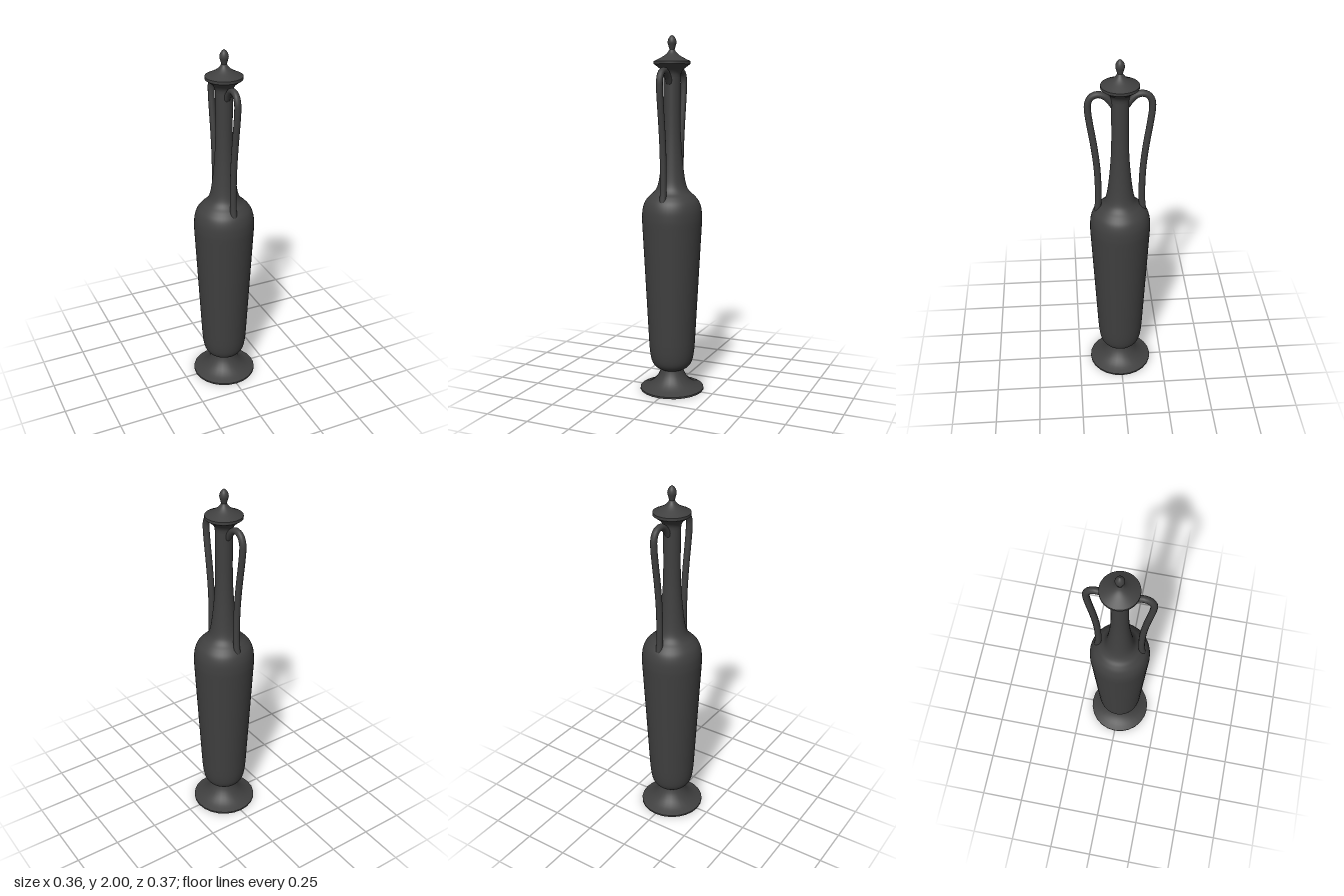
import * as THREE from 'three';

const material = new THREE.MeshStandardMaterial({ color: 0x404040, side: THREE.DoubleSide });
const SIDES = 48;

// Smooth curve through [radius, y] points
function smooth(points, divisions) {
  return new THREE.SplineCurve(points.map(([r, y]) => new THREE.Vector2(r, y))).getPoints(divisions);
}

// Turned part made of several profile pieces; the joints between pieces stay sharp
function turned(name, pieces, sides = SIDES) {
  const group = new THREE.Group();
  group.name = name;
  pieces.forEach((piece, i) => {
    const mesh = new THREE.Mesh(new THREE.LatheGeometry(piece, sides), material);
    mesh.name = `${name}Section${i + 1}`;
    group.add(mesh);
  });
  return group;
}

const line = (...points) => points.map(([r, y]) => new THREE.Vector2(r, y));

export function createModel() {
  const model = new THREE.Group();
  model.name = 'amphora';

  // Flared foot with a thin straight edge
  model.add(turned('foot', [
    line([0, 0], [0.182, 0]),
    line([0.182, 0], [0.182, 0.01]),
    smooth([[0.182, 0.01], [0.14, 0.025], [0.105, 0.049], [0.08, 0.08], [0.067, 0.108], [0.062, 0.128]], 16),
  ], 24));

  // Tapered belly, rounded shoulder and long neck
  model.add(turned('body', [
    line([0, 0.122], [0.07, 0.122]),
    smooth([[0.07, 0.122], [0.097, 0.139], [0.116, 0.17], [0.126, 0.22], [0.131, 0.28]], 16),
    line([0.131, 0.28], [0.167, 0.96]),
    smooth([[0.167, 0.96], [0.168, 1.0], [0.164, 1.05], [0.15, 1.092], [0.125, 1.123], [0.099, 1.147],
      [0.081, 1.178], [0.069, 1.235], [0.057, 1.34], [0.049, 1.45], [0.046, 1.56], [0.046, 1.68],
      [0.047, 1.775]], 64),
  ]));

  // Flaring mouth under the lid
  model.add(turned('mouth', [
    smooth([[0.047, 1.775], [0.05, 1.795], [0.062, 1.815], [0.08, 1.83], [0.1, 1.845]], 12),
    line([0.1, 1.845], [0.1, 1.86]),
  ]));

  // Domed lid with a pointed finial
  model.add(turned('lid', [
    smooth([[0.1, 1.86], [0.075, 1.872], [0.047, 1.887], [0.026, 1.904], [0.014, 1.922]], 14),
    smooth([[0.014, 1.922], [0.02, 1.943], [0.024, 1.96], [0.02, 1.978], [0.011, 1.991], [0, 2]], 18),
  ]));

  // Pair of looping handles, front and back
  const path = new THREE.CatmullRomCurve3([
    [0.035, 1.745], [0.057, 1.777], [0.084, 1.802], [0.115, 1.81], [0.147, 1.797], [0.165, 1.762],
    [0.166, 1.715], [0.157, 1.64], [0.138, 1.51], [0.124, 1.38], [0.119, 1.25], [0.121, 1.15], [0.13, 1.08],
  ].map(([z, y]) => new THREE.Vector3(0, y, z)));
  const handleGeometry = new THREE.TubeGeometry(path, 64, 0.018, 12);
  ['frontHandle', 'backHandle'].forEach((name, i) => {
    const handle = new THREE.Mesh(handleGeometry, material);
    handle.name = name;
    handle.rotation.y = i * Math.PI;
    model.add(handle);
  });

  return model;
}
